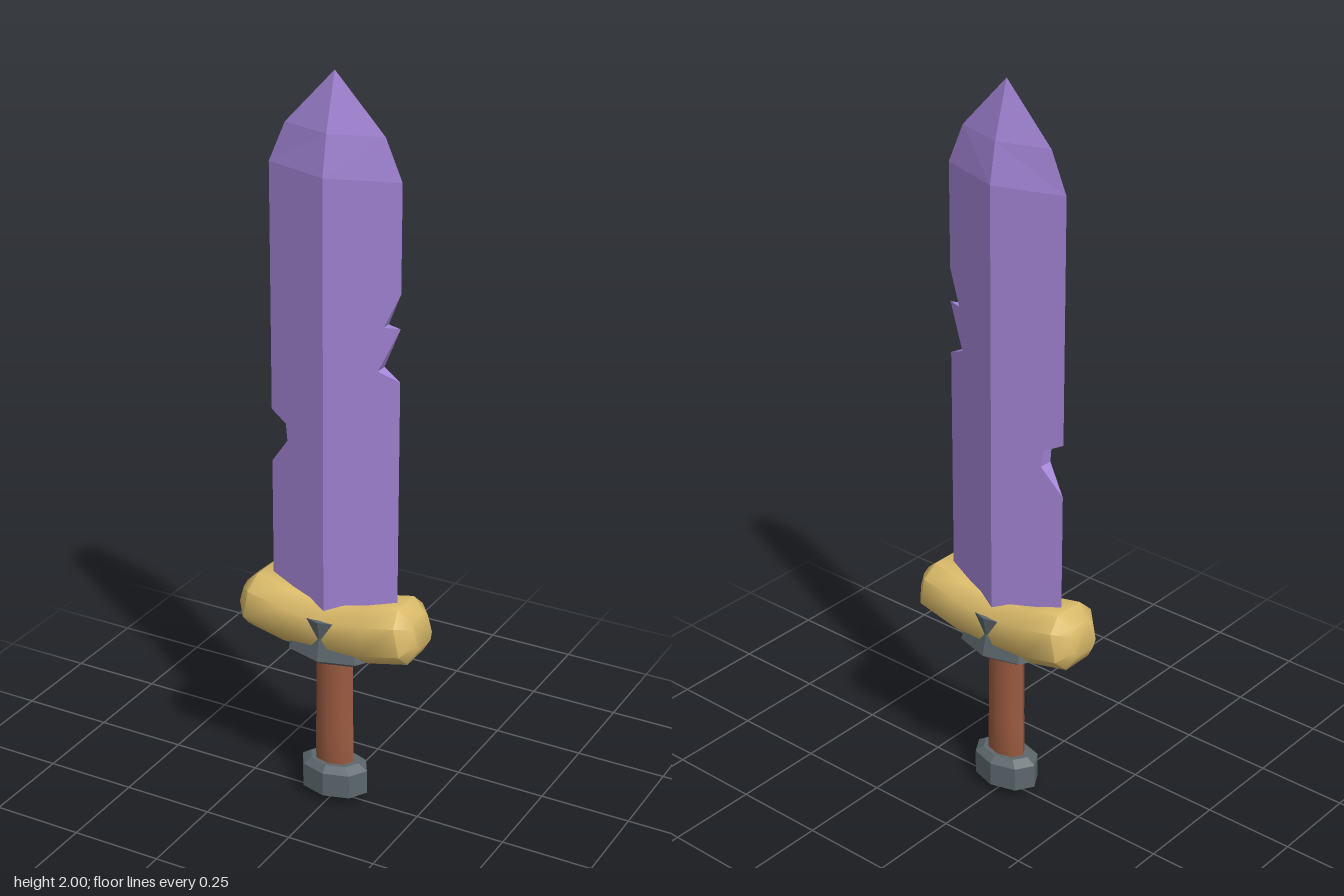
import * as THREE from 'three';
import { toCreasedNormals } from 'three/addons/utils/BufferGeometryUtils.js';

const paint = (name, color) => {
  const m = new THREE.MeshStandardMaterial({ color });
  m.name = name;
  return m;
};

const HALF_WIDTH = 0.183, HALF_DEPTH = 0.061;

// Diamond-section blade; each half is a flat panel from the ridge to a notched edge
function bladeGeometry() {
  const pos = [];
  const tri = (a, b, c, flip) => pos.push(...a, ...(flip ? c : b), ...(flip ? b : c));
  const panel = (points) => {
    const flat = points.map(([x, y]) => new THREE.Vector2(x, y));
    for (const [i, j, k] of THREE.ShapeUtils.triangulateShape(flat, [])) {
      const [a, b, c] = [points[i], points[j], points[k]];
      const cw = (b[0] - a[0]) * (c[1] - a[1]) - (b[1] - a[1]) * (c[0] - a[0]) < 0;
      tri(a, b, c, cw);
      const back = ([x, y, z]) => [x, y, -z];
      tri(back(a), back(b), back(c), !cw);
    }
  };
  const edges = {
    1: [[HALF_WIDTH, 0.54], [HALF_WIDTH, 1.24], [0.13, 1.265], [HALF_WIDTH, 1.38],
      [0.143, 1.381], [HALF_WIDTH, 1.47], [HALF_WIDTH, 1.75]],
    [-1]: [[HALF_WIDTH, 0.54], [HALF_WIDTH, 0.95], [0.127, 1.025], [0.132, 1.07],
      [HALF_WIDTH, 1.095], [HALF_WIDTH, 1.75]],
  };
  for (const s of [1, -1]) {
    const edge = edges[s].map(([x, y]) => [s * x, y, HALF_DEPTH * (1 - x / HALF_WIDTH)]);
    panel([[0, 0.54, HALF_DEPTH], ...edge, [0, 1.75, HALF_DEPTH]]);
    // Walls inside the notches
    for (let i = 0; i + 1 < edge.length; i++) {
      const p = edge[i], q = edge[i + 1];
      if (p[2] + q[2] < 1e-6) continue;
      const pb = [p[0], p[1], -p[2]], qb = [q[0], q[1], -q[2]];
      if (p[2] > 1e-6) tri(p, pb, q, s < 0);
      if (q[2] > 1e-6) tri(pb, qb, q, s < 0);
      else if (p[2] <= 1e-6) tri(pb, qb, q, s < 0);
    }
    // Two tapering steps of the tip
    panel([[0, 1.75, HALF_DEPTH], [s * HALF_WIDTH, 1.75, 0], [s * 0.137, 1.855, 0], [0, 1.855, 0.042]]);
    panel([[0, 1.855, 0.042], [s * 0.137, 1.855, 0], [0, 2, 0]]);
  }
  const g = new THREE.BufferGeometry();
  g.setAttribute('position', new THREE.Float32BufferAttribute(pos, 3));
  g.computeVertexNormals();
  return g;
}

// Octagonal cross-sections swept along x, upturned at both ends
function guardGeometry() {
  // top x, top y, bottom x, bottom y, half depth, half depth of the flat, chamfer fraction
  const half = [
    [0.0, 0.602, 0.0, 0.455, 0.083, 0.045, 0.24],
    [0.11, 0.615, 0.13, 0.46, 0.083, 0.045, 0.24],
    [0.207, 0.635, 0.237, 0.485, 0.083, 0.045, 0.24],
    [0.245, 0.603, 0.265, 0.53, 0.045, 0.03, 0.2],
  ];
  const mirrored = half.slice(1).reverse().map(([a, b, c, ...rest]) => [-a, b, -c, ...rest]);
  const sections = [...mirrored, ...half];
  const pos = [], index = [];
  for (const [tx, ty, bx, by, d, f, c] of sections) {
    const ring = [[0, f], [c, d], [1 - c, d], [1, f], [1, -f], [1 - c, -d], [c, -d], [0, -f]];
    for (const [t, z] of ring) pos.push(tx + (bx - tx) * t, ty + (by - ty) * t, z);
  }
  const last = (sections.length - 1) * 8;
  for (let r = 0; r < last; r += 8) {
    for (let i = 0; i < 8; i++) {
      const j = (i + 1) % 8;
      index.push(r + i, r + j, r + 8 + i, r + j, r + 8 + j, r + 8 + i);
    }
  }
  for (let i = 1; i < 7; i++) {
    index.push(0, i + 1, i, last, last + i, last + i + 1);
  }
  const g = new THREE.BufferGeometry();
  g.setAttribute('position', new THREE.Float32BufferAttribute(pos, 3));
  g.setIndex(index);
  return toCreasedNormals(g, 0.95);
}

// Eight-sided turned part, flattened in z
function turned(profile, rx, rz, crease) {
  const g = new THREE.LatheGeometry(profile.map(([r, y]) => new THREE.Vector2(r, y)), 8);
  g.scale(rx, 1, rz);
  return toCreasedNormals(g, crease);
}

export function createModel() {
  const purple = paint('purple blade', 0xa586d8);
  const gold = paint('gold', 0xdbbb6a);
  const iron = paint('dark iron', 0x5c676d);
  const leather = paint('brown leather', 0x99593f);

  const model = new THREE.Group();
  model.name = 'sword';
  const add = (name, geometry, material) => {
    const mesh = new THREE.Mesh(geometry, material);
    mesh.name = name;
    model.add(mesh);
  };

  // Blade and crossguard
  add('blade', bladeGeometry(), purple);
  add('guard', guardGeometry(), gold);

  // Waisted collar showing through the middle of the guard
  add('collar', turned([[0, 0.44], [0.8, 0.441], [1, 0.456], [0.87, 0.515], [0.97, 0.568], [0, 0.572]],
    0.14, 0.097, 0.2), iron);

  // Grip
  add('grip', turned([[1, 0.1], [1, 0.22], [0.97, 0.23], [0.97, 0.45]], 0.057, 0.039, 0.9), leather);

  // Pommel
  add('pommel', turned([[0, 0.005], [1, 0.032], [1, 0.1], [0.74, 0.117], [0, 0.117]],
    0.098, 0.068, 0.2), iron);

  return model;
}
